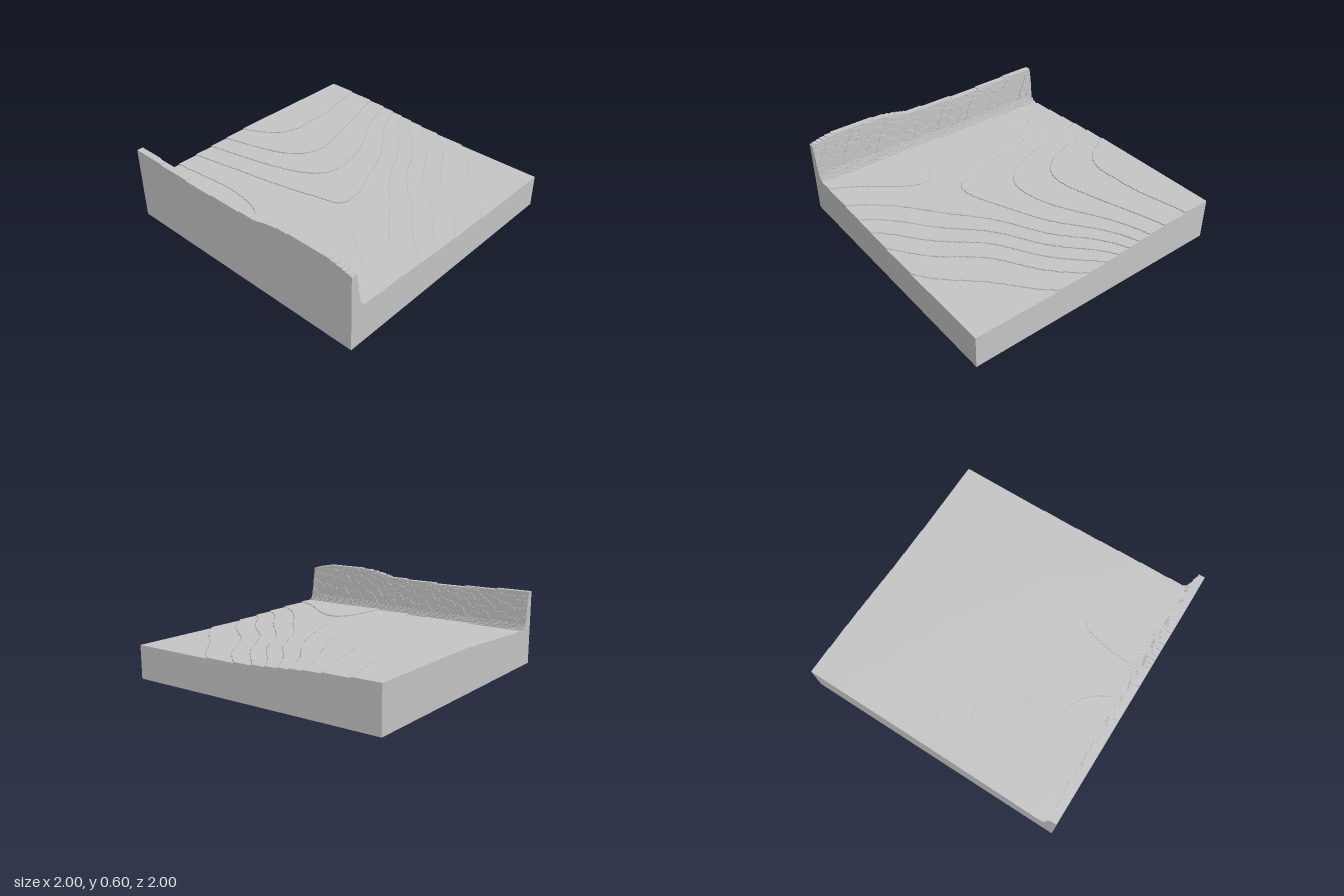
import * as THREE from 'three';

const N = 256;          // cells along each side
const S = 2 / N;        // cell size, also the height of one terrace

// Terrace levels at a 5 x 5 lattice: rows run back to front, columns from -x to +x
const LAND = [
  [40.4, 38.0, 33.2, 31.1, 31.0],
  [40.4, 38.8, 36.3, 32.6, 31.1],
  [39.7, 38.7, 37.2, 35.3, 32.5],
  [36.6, 36.1, 36.0, 36.6, 35.3],
  [33.5, 34.0, 35.4, 37.4, 37.4],
];

// Crest of the front ridge as [x, y], and its rear slope as [depth from front, share of height]
const CREST = [[-1, 0.55], [-0.8, 0.546], [-0.6, 0.537], [-0.3, 0.533], [0, 0.54], [0.2, 0.549],
  [0.3, 0.573], [0.4, 0.59], [0.55, 0.602], [0.8, 0.603], [0.9, 0.587], [1, 0.563]];
const SLOPE = [[0, 1], [0.042, 1], [0.05, 0.93], [0.06, 0.75], [0.07, 0.45], [0.078, 0.16],
  [0.09, 0.11], [0.108, 0.04], [0.125, 0]];

// Piecewise-linear lookup
function lookup(points, t) {
  if (t <= points[0][0]) return points[0][1];
  for (let i = 1; i < points.length; i++) {
    const [a, va] = points[i - 1], [b, vb] = points[i];
    if (t <= b) return va + (vb - va) * (t - a) / (b - a);
  }
  return points[points.length - 1][1];
}

// Smooth curve through evenly spaced values, t in 0..1
function smooth(values, t) {
  const n = values.length - 1;
  const i = Math.min(n - 1, Math.floor(t * n)), f = t * n - i;
  const p1 = values[i], p2 = values[i + 1];
  const p0 = i > 0 ? values[i - 1] : 2 * p1 - p2;
  const p3 = i + 2 <= n ? values[i + 2] : 2 * p2 - p1;
  return p1 + 0.5 * f * (p2 - p0 + f * (2 * p0 - 5 * p1 + 4 * p2 - p3 + f * (3 * (p1 - p2) + p3 - p0)));
}

// Height of every cell in whole terraces
function buildLevels() {
  const levels = [];
  for (let k = 0; k < N; k++) {
    const z = (k + 0.5) * S - 1;
    const row = [];
    for (let i = 0; i < N; i++) {
      const x = (i + 0.5) * S - 1;
      const land = smooth(LAND.map(r => smooth(r, (x + 1) / 2)), (z + 1) / 2);
      // ragged strata on the rear of the ridge
      const rag = 0.004 * Math.sin(x * 7 + 1) + 0.003 * Math.sin(x * 23 + k) + 0.002 * Math.sin(x * 61 + 2 * k);
      const share = lookup(SLOPE, 1 - z + (1 - z > 0.045 ? rag : 0));
      const crest = lookup(CREST, x) / S;
      row.push(Math.round(land + (crest - land) * share));
    }
    levels.push(row);
  }
  return levels;
}

// Stepped surface for rows k0..k1, with risers towards every lower neighbour
function steppedGeometry(levels, k0, k1) {
  const pos = [];
  const at = (i, k) => (i < 0 || k < 0 || i >= N || k >= N ? 0 : levels[k][i]);
  const quad = (a, b, c, d) => pos.push(...a, ...b, ...c, ...a, ...c, ...d);

  for (let k = k0; k < k1; k++) {
    const z0 = k * S - 1, z1 = z0 + S;
    // treads and front/back risers, merged into runs along x
    for (let i = 0; i < N;) {
      const h = at(i, k), f = at(i, k + 1), b = at(i, k - 1);
      let j = i + 1;
      while (j < N && at(j, k) === h && at(j, k + 1) === f && at(j, k - 1) === b) j++;
      const x0 = i * S - 1, x1 = j * S - 1, y = h * S, yf = f * S, yb = b * S;
      quad([x0, y, z0], [x0, y, z1], [x1, y, z1], [x1, y, z0]);
      if (f < h) quad([x0, yf, z1], [x1, yf, z1], [x1, y, z1], [x0, y, z1]);
      if (b < h) quad([x1, yb, z0], [x0, yb, z0], [x0, y, z0], [x1, y, z0]);
      i = j;
    }
    // side risers
    for (let i = 0; i <= N; i++) {
      const l = at(i - 1, k) * S, r = at(i, k) * S, x = i * S - 1;
      if (l > r) quad([x, r, z1], [x, r, z0], [x, l, z0], [x, l, z1]);
      if (r > l) quad([x, l, z0], [x, l, z1], [x, r, z1], [x, r, z0]);
    }
  }
  // underside
  const za = k0 * S - 1, zb = k1 * S - 1;
  quad([-1, 0, za], [1, 0, za], [1, 0, zb], [-1, 0, zb]);

  const geometry = new THREE.BufferGeometry();
  geometry.setAttribute('position', new THREE.Float32BufferAttribute(pos, 3));
  geometry.computeVertexNormals();
  return geometry;
}

export function createModel() {
  const group = new THREE.Group();
  group.name = 'terracedTerrain';
  const stone = new THREE.MeshStandardMaterial({ color: 0xc4c4c4 });
  stone.name = 'stone grey';

  const levels = buildLevels();
  const split = 238;
  for (const [name, k0, k1] of [['terracedGround', 0, split], ['frontRidge', split, N]]) {
    const mesh = new THREE.Mesh(steppedGeometry(levels, k0, k1), stone);
    mesh.name = name;
    group.add(mesh);
  }
  return group;
}
